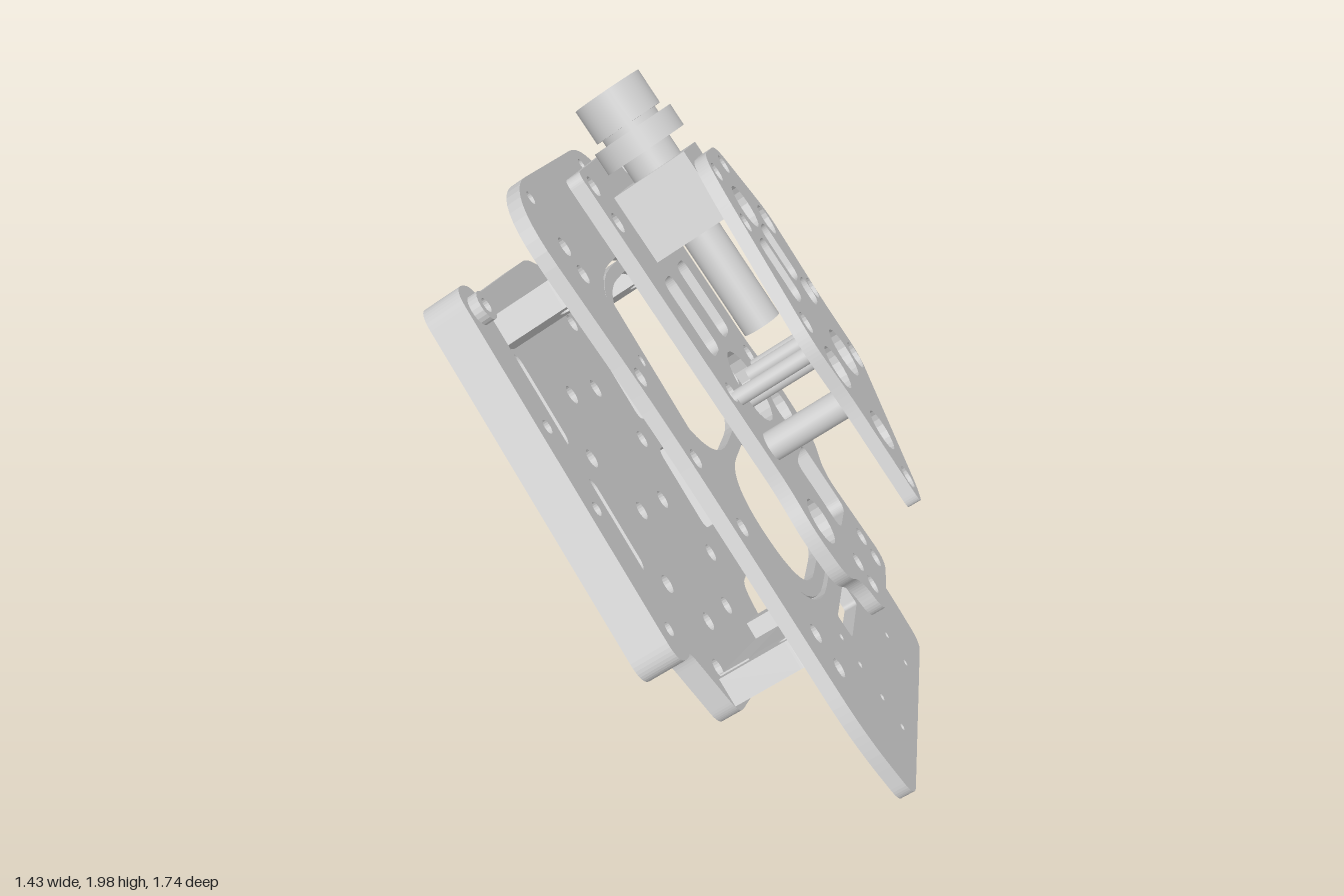
import * as THREE from 'three';

const mat = new THREE.MeshStandardMaterial({ color: 0xcccccc, side: THREE.DoubleSide });

// Closed outline through [x, y] points with every corner rounded by radius r
function rounded(points, r, Type = THREE.Shape) {
  const path = new Type();
  const n = points.length;
  points.forEach(([x, y, own], i) => {
    const [px, py] = points[(i + n - 1) % n], [nx, ny] = points[(i + 1) % n];
    const lp = Math.hypot(px - x, py - y), ln = Math.hypot(nx - x, ny - y);
    const d = Math.min(own ?? r, lp / 2, ln / 2);
    const ax = x + (px - x) * d / lp, ay = y + (py - y) * d / lp;
    if (i === 0) path.moveTo(ax, ay); else path.lineTo(ax, ay);
    path.quadraticCurveTo(x, y, x + (nx - x) * d / ln, y + (ny - y) * d / ln);
  });
  path.closePath();
  return path;
}

const rect = (x, y, w, h) => [[x - w / 2, y - h / 2], [x + w / 2, y - h / 2], [x + w / 2, y + h / 2], [x - w / 2, y + h / 2]];
const windowHole = (x, y, w, h, r = 0.04) => rounded(rect(x, y, w, h), r, THREE.Path);
const roundHole = (x, y, r) => new THREE.Path().absarc(x, y, r, 0, Math.PI * 2, true);

function add(parent, name, geometry, x = 0, y = 0, z = 0) {
  const mesh = new THREE.Mesh(geometry, mat);
  mesh.name = name;
  mesh.position.set(x, y, z);
  parent.add(mesh);
  return mesh;
}

// Flat plate between depths z0 and z1
function plate(parent, name, shape, holes, z0, z1) {
  shape.holes.push(...holes);
  const g = new THREE.ExtrudeGeometry(shape, { depth: z1 - z0, bevelEnabled: false, curveSegments: 10 });
  return add(parent, name, g, 0, 0, z0);
}

// Round post standing on the plates
function post(parent, name, x, y, r, z0, z1) {
  const g = new THREE.CylinderGeometry(r, r, z1 - z0, 24).rotateX(Math.PI / 2);
  return add(parent, name, g, x, y, (z0 + z1) / 2);
}

// Block with a cross hole, used as a mounting lug
function lug(parent, x, y, z0, z1) {
  const h = z1 - z0, w = 0.13;
  const s = rounded([[-w / 2, 0, 0], [w / 2, 0, 0], [w / 2, h], [-w / 2, h]], 0.05);
  s.holes.push(roundHole(0, h - 0.06, 0.025));
  const g = new THREE.ExtrudeGeometry(s, { depth: 0.09, bevelEnabled: false });
  g.translate(0, 0, -0.045).rotateX(Math.PI / 2);
  add(parent, 'mountingLug', g, x, y, z0);
}

function buildBase(body) {
  // Base plate with a large oval opening
  const outline = rounded([[-0.55, -1.09, 0.06], [0.57, -1.09, 0.06], [0.62, -0.84], [0.57, -0.3], [0.525, 0.17],
    [0.56, 0.915], [-0.53, 0.915], [-0.505, 0.17], [-0.55, -0.3], [-0.61, -0.84]], 0.24);
  const holes = [windowHole(0.01, 0, 0.85, 1.16, 0.36), windowHole(0, -0.69, 0.28, 0.08, 0.015)];
  for (const s of [-1, 1]) {
    for (const [x, y] of [[0.36, 0.7], [0.36, 0.61], [0.467, 0.3], [0.467, 0.03], [0.467, -0.2], [0.455, -0.57], [0.455, -0.69]])
      holes.push(roundHole(0.005 + s * x, y, 0.03));
    for (const y of [-0.68, -0.78, -0.9, -1.01]) holes.push(roundHole(s * 0.24, y, 0.012));
    holes.push(roundHole(s * 0.36, 0.86, 0.02));
  }
  plate(body, 'basePlate', outline, holes, 0.022, 0.066);

  // Oval insert with two large openings
  plate(body, 'ovalInsert', rounded(rect(0.01, 0, 0.826, 1.136), 0.35),
    [windowHole(0.01, 0.24, 0.72, 0.58, 0.29), windowHole(0.01, -0.31, 0.58, 0.42, 0.21)], 0.026, 0.06);
}

function buildMiddlePlate(body) {
  const outline = rounded([[-0.17, -0.71], [0.22, -0.68], [0.19, -0.33], [0.34, -0.25], [0.36, -0.02], [0.31, 0.1],
    [0.31, 0.855, 0.03], [-0.3, 0.845, 0.03], [-0.3, -0.21], [-0.34, -0.35], [-0.32, -0.52], [-0.2, -0.57]], 0.07);
  const holes = [windowHole(0.05, -0.33, 0.2, 0.24), roundHole(-0.21, -0.36, 0.075), roundHole(0.21, -0.09, 0.075),
    roundHole(0, 0.05, 0.12), windowHole(-0.12, 0.33, 0.13, 0.26), windowHole(0.13, 0.33, 0.13, 0.26)];
  for (const s of [-1, 1]) {
    for (const y of [0.79, 0.67, 0.1]) holes.push(roundHole(s * 0.24, y, 0.032));
    for (const y of [-0.55, -0.63]) holes.push(roundHole(0.01 + s * 0.115, y, 0.03));
  }
  plate(body, 'middlePlate', outline, holes, 0.155, 0.2);
}

function buildTopPlate(body) {
  const outline = rounded([[-0.25, -0.46], [-0.17, -0.43], [0.26, -0.09], [0.25, 0.12], [0.285, 0.43], [0.14, 0.69],
    [-0.1, 0.69], [-0.15, 0.58], [-0.28, 0.1], [-0.25, -0.1]], 0.06);
  const holes = [windowHole(-0.08, 0.3, 0.11, 0.21), windowHole(0.07, 0.33, 0.11, 0.19), windowHole(0.13, 0.18, 0.1, 0.09)];
  for (const [x, y, r] of [[0.01, 0.5, 0.07], [-0.17, -0.01, 0.07], [0.2, 0.42, 0.05], [-0.13, -0.24, 0.065],
    [0.05, -0.02, 0.08], [0.2, -0.07, 0.045], [-0.2, 0.15, 0.035], [0.22, 0.17, 0.035], [-0.2, -0.38, 0.035],
    [-0.07, 0.63, 0.03], [0.1, 0.63, 0.03], [-0.13, 0.47, 0.03]]) holes.push(roundHole(x, y, r));
  plate(body, 'topPlate', outline, holes, 0.44, 0.48);
  // Standoffs between the middle and top plates
  for (const [x, y, r] of [[-0.2, -0.1, 0.045], [-0.08, 0.03, 0.025], [-0.2, 0.07, 0.025], [0.12, 0.06, 0.025], [0.2, 0.05, 0.035]])
    post(body, 'standoff', x, y, r, 0.19, 0.45);
}

function buildSpindle(body) {
  const c = 0.33;
  add(body, 'spindleBlock', new THREE.BoxGeometry(0.24, 0.22, 0.24), 0.01, 0.62, 0.32);
  add(body, 'spindleRod', new THREE.CylinderGeometry(0.06, 0.06, 0.35, 32), 0.01, 0.36, c);
  // Hollow nozzle: neck, collar and open cup
  const steps = [[0.08, 0.7], [0.08, 0.79], [0.13, 0.79], [0.13, 0.86], [0.09, 0.86], [0.09, 0.88], [0.108, 0.88],
    [0.108, 0.99], [0.09, 0.99], [0.09, 0.8], [0, 0.8]];
  // Each straight step is its own lathe so that edges stay sharp
  const nozzle = new THREE.Group();
  nozzle.name = 'nozzle';
  nozzle.position.set(0.005, 0, c);
  for (let i = 0; i + 1 < steps.length; i++)
    add(nozzle, 'nozzleStep', new THREE.LatheGeometry([steps[i], steps[i + 1]].map(p => new THREE.Vector2(...p)), 40));
  body.add(nozzle);
}

function buildUnderFrame(body) {
  const frame = new THREE.Group();
  frame.name = 'underFrame';
  frame.rotation.z = -0.2;
  body.add(frame);

  // Solid frame plate with side slots and a narrowed lower end
  const outline = rounded([[-0.31, -0.74], [0.33, -0.71], [0.4, -0.46], [0.61, -0.43], [0.63, 0.74],
    [0.42, 0.7], [0.2, 0.77], [-0.43, 0.65], [-0.6, 0.61], [-0.67, 0.57], [-0.67, -0.46], [-0.42, -0.5]], 0.05);
  const holes = [];
  for (const s of [-1, 1]) {
    for (const y of [0.31, -0.1]) holes.push(windowHole(s * 0.445, y, 0.16, 0.3));
    for (const y of [-0.6, -0.32, 0.1, 0.53]) holes.push(roundHole(s * 0.27, y, 0.03));
    for (const y of [-0.48, -0.1, 0.3]) holes.push(roundHole(s * 0.12, y, 0.03));
  }
  plate(frame, 'framePlate', outline, holes, -0.32, -0.25);
  add(frame, 'endWall', new THREE.BoxGeometry(0.56, 0.08, 0.1), 0.02, -0.66, -0.21);

  // Side rails with rounded ends and bolt bosses
  for (const [x, y0, y1] of [[-0.61, -0.51, 0.66], [0.57, -0.45, 0.82]]) {
    const holesInRail = [0.08, 0.4, 0.62, 0.93].map(t => roundHole(x, y0 + (y1 - y0) * t, 0.022));
    plate(frame, 'sideRail', rounded(rect(x, (y0 + y1) / 2, 0.14, y1 - y0), 0.068), holesInRail, -0.32, -0.2);
    const ring = new THREE.Shape().absarc(x, y1 - 0.08, 0.045, 0, Math.PI * 2);
    plate(frame, 'boltBoss', ring, [roundHole(x, y1 - 0.08, 0.022)], -0.2, -0.17);
  }

  // Lugs reaching up to the base plate
  for (const [x, y] of [[-0.25, -0.67], [0.27, -0.61], [-0.42, 0.52], [0.4, 0.58]])
    lug(frame, x, y, -0.26, 0.022);
}

export function createModel() {
  const model = new THREE.Group();
  model.name = 'plateAssembly';
  const body = new THREE.Group();
  body.name = 'tiltedBody';

  buildBase(body);
  buildMiddlePlate(body);
  buildTopPlate(body);
  buildSpindle(body);
  buildUnderFrame(body);

  // Lean the whole stack: width, length and plate normal axes
  const tilt = 0.3795, lean = 0.6435;
  const along = new THREE.Vector3(0, Math.cos(tilt), -Math.sin(tilt));
  const width = new THREE.Vector3(0, -Math.sin(tilt), -Math.cos(tilt));
  const length = along.clone().multiplyScalar(Math.cos(lean)).add(new THREE.Vector3(-Math.sin(lean), 0, 0));
  const normal = new THREE.Vector3().crossVectors(width, length);
  body.quaternion.setFromRotationMatrix(new THREE.Matrix4().makeBasis(width, length, normal));
  body.position.y = 1;
  model.add(body);
  return model;
}
